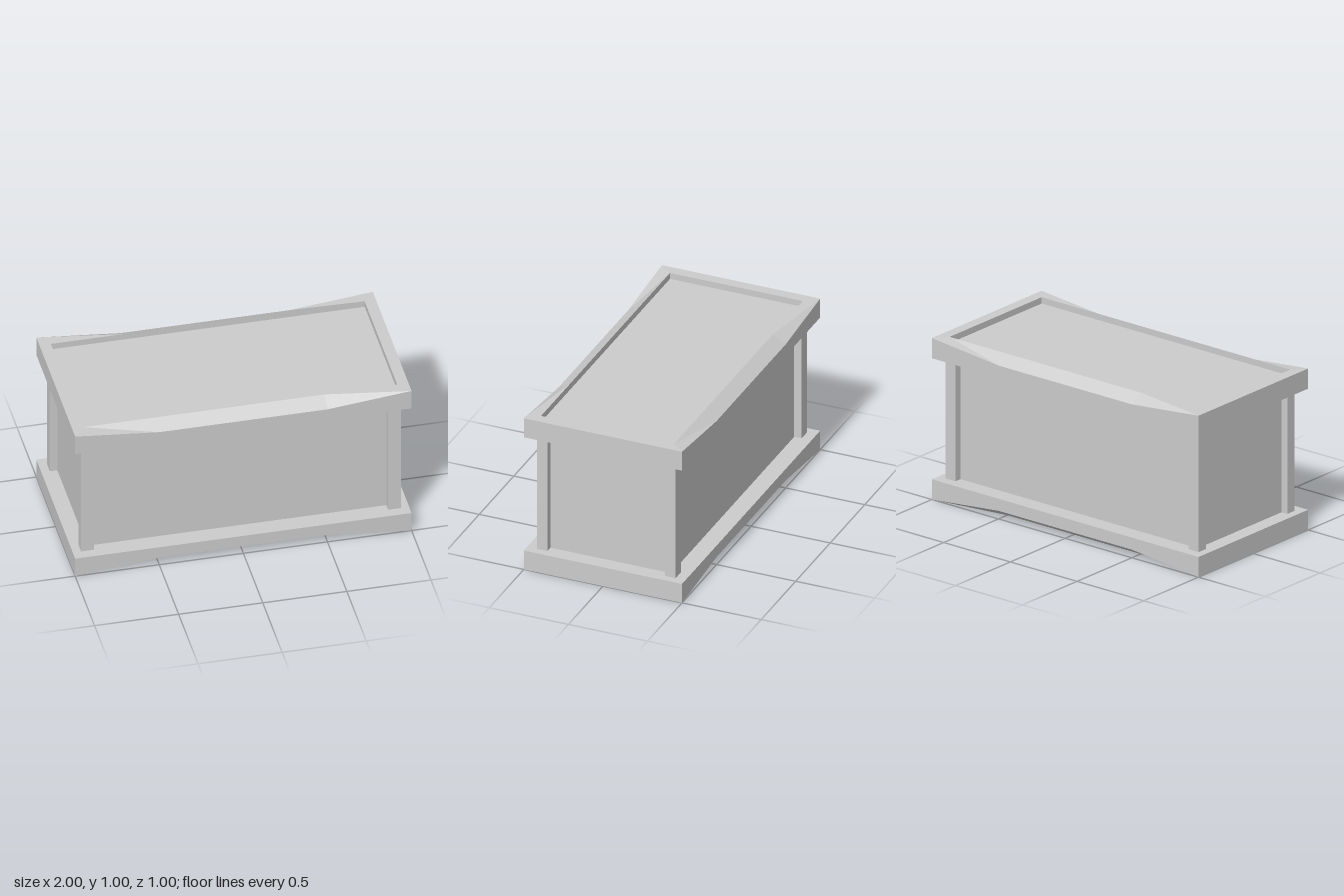
import * as THREE from 'three';

const material = new THREE.MeshStandardMaterial({ color: 0xcccccc, flatShading: true });

function box(name, w, h, d, x, y, z) {
  const mesh = new THREE.Mesh(new THREE.BoxGeometry(w, h, d), material);
  mesh.name = name;
  mesh.position.set(x, y, z);
  return mesh;
}

// Rectangular frame: a four-point section swept round eight stations.
// The long outer edges dip by 0.05 between x = -0.5 and 0.5.
function rimGeometry(bottom, top) {
  const outer = [[1, 0.5], [0.5, 0.5], [-0.5, 0.5], [-1, 0.5], [-1, -0.5], [-0.5, -0.5], [0.5, -0.5], [1, -0.5]];
  const positions = [];
  const index = [];
  outer.forEach(([x, z], i) => {
    const corner = Math.abs(x) === 1;
    const ix = corner ? x * 0.933 : x;
    const iz = z * 0.84;
    positions.push(
      x, bottom, z,
      x, corner ? top : top - 0.05, z,
      ix, top, iz,
      ix, bottom, iz
    );
    const n = (i + 1) % outer.length;
    for (let j = 0; j < 4; j++) {
      const k = (j + 1) % 4;
      const a = i * 4 + j, b = i * 4 + k, c = n * 4 + k, d = n * 4 + j;
      index.push(a, b, c, a, c, d);
    }
  });
  const geometry = new THREE.BufferGeometry();
  geometry.setAttribute('position', new THREE.Float32BufferAttribute(positions, 3));
  geometry.setIndex(index);
  const flat = geometry.toNonIndexed();
  flat.computeVertexNormals();
  return flat;
}

export function createModel() {
  const group = new THREE.Group();
  group.name = 'crate';

  // Inset side walls
  group.add(box('walls', 1.81, 0.8, 0.78, 0, 0.5, 0));

  // Corner posts
  for (const x of [-1, 1]) {
    for (const z of [-1, 1]) {
      group.add(box('cornerPost', 0.075, 0.76, 0.066, x * 0.9125, 0.5, z * 0.405));
    }
  }

  // Top and bottom: the same frame and recessed panel, turned over
  for (const side of [1, -1]) {
    const end = new THREE.Group();
    end.name = side > 0 ? 'lid' : 'base';
    const rim = new THREE.Mesh(rimGeometry(0.375, 0.5), material);
    rim.name = 'rim';
    end.add(rim, box('panel', 1.866, 0.085, 0.84, 0, 0.4185, 0));
    end.position.y = 0.5;
    if (side < 0) end.rotation.x = Math.PI;
    group.add(end);
  }
  return group;
}
